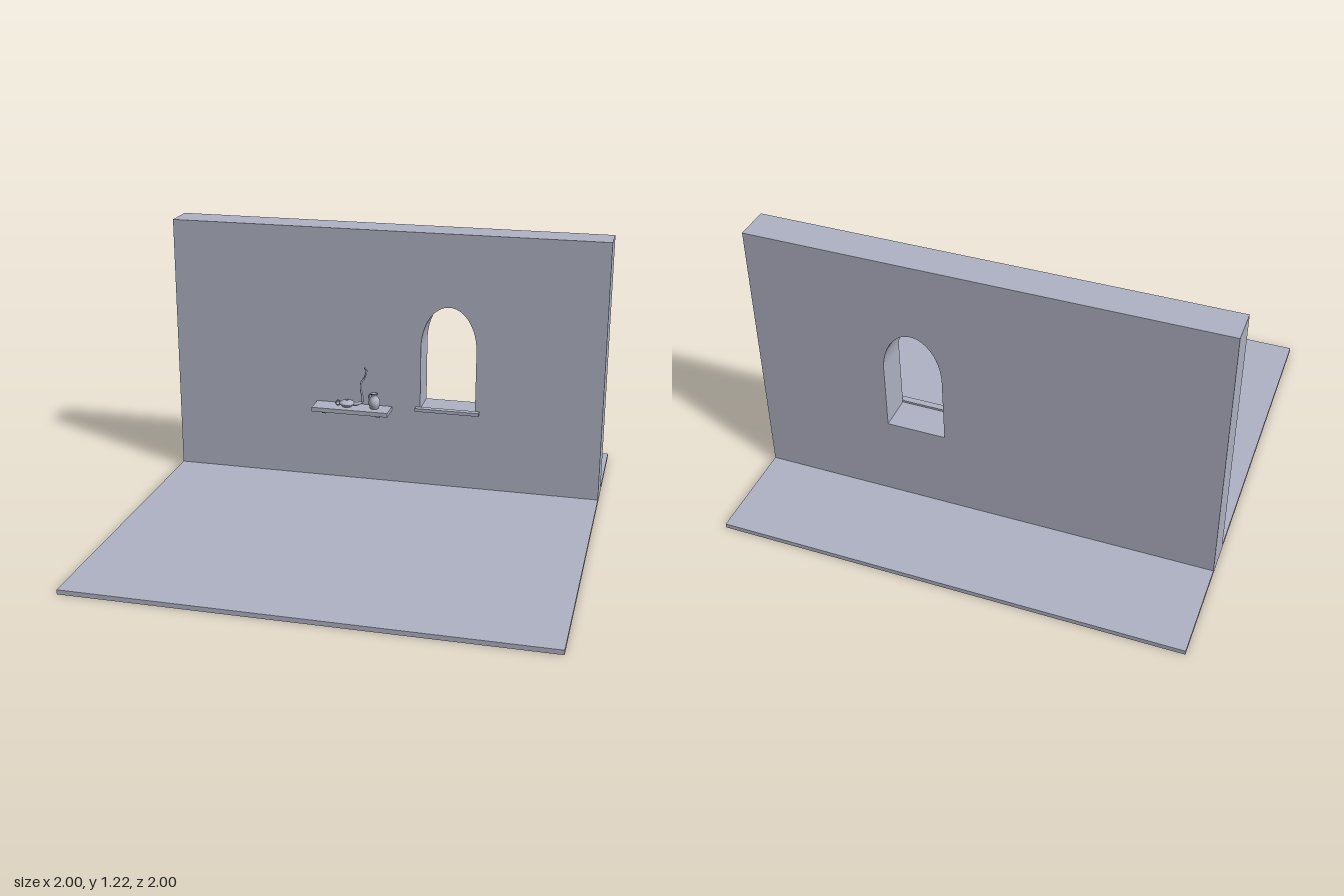
import * as THREE from 'three';

export function createModel() {
  const root = new THREE.Group();
  const plaster = new THREE.MeshStandardMaterial({ color: 0xb0b3c4 });
  plaster.name = 'blueGreyPlaster';

  const add = (name, geometry, x = 0, y = 0, z = 0, parent = root) => {
    const mesh = new THREE.Mesh(geometry, plaster);
    mesh.name = name;
    mesh.position.set(x, y, z);
    parent.add(mesh);
    return mesh;
  };
  // Box given by its lower and upper corners
  const box = (name, x0, x1, y0, y1, z0, z1) =>
    add(name, new THREE.BoxGeometry(x1 - x0, y1 - y0, z1 - z0), (x0 + x1) / 2, (y0 + y1) / 2, (z0 + z1) / 2);
  const lathe = (points) => new THREE.LatheGeometry(
    new THREE.SplineCurve(points.map(([r, y]) => new THREE.Vector2(r, y))).getPoints(28), 28);
  const path = (points) => new THREE.CatmullRomCurve3(points.map((p) => new THREE.Vector3(...p)));

  // Tube whose radius changes linearly from r0 to r1, with rounded-off ends
  const taperedTube = (points, r0, r1, segments) => {
    const curve = path(points), sides = 10;
    const geometry = new THREE.TubeGeometry(curve, segments, 1, sides);
    const pos = geometry.attributes.position, centre = new THREE.Vector3(), v = new THREE.Vector3();
    for (let i = 0; i < pos.count; i++) {
      const t = Math.floor(i / (sides + 1)) / segments;
      curve.getPointAt(t, centre);
      const end = t === 0 || t === 1 ? 0.05 : 1;
      v.fromBufferAttribute(pos, i).sub(centre).multiplyScalar(end * (r0 + (r1 - r0) * t)).add(centre);
      pos.setXYZ(i, v.x, v.y, v.z);
    }
    geometry.computeVertexNormals();
    return geometry;
  };

  // Floor slab
  box('floor', -1, 1, 0, 0.02, -1, 1);

  // Wall with an arched opening
  const wall = new THREE.Shape();
  wall.moveTo(-1, 0.02).lineTo(1, 0.02).lineTo(1, 1.215).lineTo(-1, 1.215).closePath();
  const arch = new THREE.Path();
  arch.moveTo(0.17, 0.39).lineTo(0.17, 0.68);
  arch.absellipse(0.2975, 0.68, 0.1275, 0.2, Math.PI, 0, true);
  arch.lineTo(0.425, 0.39).closePath();
  wall.holes.push(arch);
  add('wall', new THREE.ExtrudeGeometry(wall, { depth: 0.152, bevelEnabled: false, curveSegments: 24 }), 0, 0, -0.56);

  // Window sill
  box('windowSill', 0.15, 0.445, 0.384, 0.399, -0.41, -0.382);

  // Shelf and its two brackets
  box('shelf', -0.32, 0.037, 0.37, 0.39, -0.409, -0.31);
  for (const x of [-0.27, -0.015]) box('shelfBracket', x - 0.01, x + 0.01, 0.354, 0.371, -0.409, -0.342);

  // Oil lamp: squat bowl, lid knob, spout and ring handle
  const lamp = new THREE.Group();
  lamp.name = 'oilLamp';
  lamp.position.set(-0.165, 0.39, -0.36);
  root.add(lamp);
  add('lampBowl', lathe([[0, 0], [0.02, 0.001], [0.024, 0.006], [0.035, 0.016], [0.029, 0.025], [0.014, 0.029], [0, 0.03]]), 0, 0, 0, lamp);
  add('lampKnob', new THREE.SphereGeometry(0.005, 12, 8), 0, 0.031, 0, lamp);
  add('lampSpout', taperedTube([[0.025, 0.015, -0.004], [0.045, 0.014, -0.01], [0.06, 0.018, -0.014], [0.07, 0.023, -0.016]], 0.01, 0.006, 16), 0, 0, 0, lamp);
  const handle = add('lampHandle', new THREE.TorusGeometry(0.011, 0.003, 8, 20), -0.04, 0.018, 0.006, lamp);
  handle.rotation.y = 0.25;

  // Wisp of smoke rising from the spout
  add('smoke', taperedTube([
    [-0.096, 0.41, -0.376], [-0.094, 0.44, -0.372], [-0.1, 0.475, -0.368], [-0.1, 0.505, -0.374],
    [-0.086, 0.53, -0.375], [-0.077, 0.552, -0.369], [-0.075, 0.57, -0.371], [-0.083, 0.585, -0.36],
  ], 0.005, 0.004, 48));

  // Small jug with an open mouth and side handle
  const jug = new THREE.Group();
  jug.name = 'jug';
  jug.position.set(-0.035, 0.39, -0.36);
  root.add(jug);
  add('jugBody', lathe([
    [0, 0], [0.017, 0.001], [0.023, 0.012], [0.027, 0.028], [0.023, 0.046], [0.014, 0.058],
    [0.013, 0.066], [0.017, 0.074], [0.014, 0.074], [0.01, 0.064], [0, 0.055],
  ]), 0, 0, 0, jug);
  add('jugHandle', new THREE.TubeGeometry(path([[-0.014, 0.069, 0], [-0.023, 0.067, 0], [-0.026, 0.055, 0], [-0.023, 0.043, 0]]), 16, 0.003, 8), 0, 0, 0, jug);

  return root;
}
